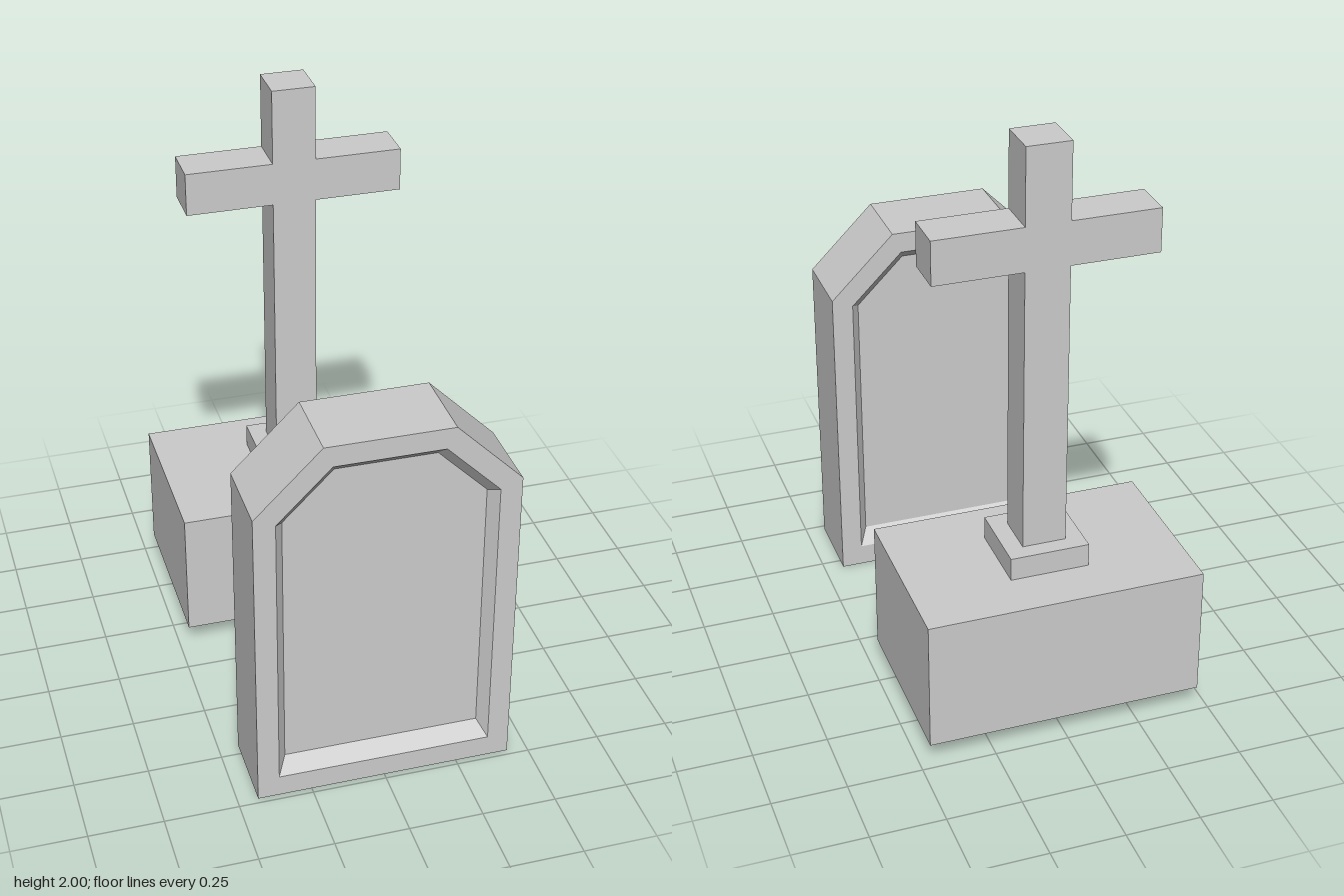
import * as THREE from 'three';

const grey = () => new THREE.MeshStandardMaterial({ color: 0xcccccc, flatShading: true });

function add(parent, name, geometry, x = 0, y = 0, z = 0) {
  const mesh = new THREE.Mesh(geometry, grey());
  mesh.name = name;
  mesh.position.set(x, y, z);
  parent.add(mesh);
}

// Box given by half width, bottom, top, back and front
function addBox(parent, name, hw, y0, y1, z0, z1) {
  add(parent, name, new THREE.BoxGeometry(hw * 2, y1 - y0, z1 - z0), 0, (y0 + y1) / 2, (z0 + z1) / 2);
}

// Clipped-corner outline, counter-clockwise seen from the front
function outline(hw, bottom, shoulder, topHw, top, z) {
  return [[-hw, bottom], [hw, bottom], [hw, shoulder], [topHw, top], [-topHw, top], [-hw, shoulder]]
    .map(([x, y]) => new THREE.Vector3(x, y, z));
}

// Closed solid through loops running from front to back
function loft(loops) {
  const pts = [];
  const n = loops[0].length;
  for (let i = 0; i < loops.length - 1; i++) {
    for (let j = 0; j < n; j++) {
      const k = (j + 1) % n;
      const a = loops[i][j], b = loops[i][k], c = loops[i + 1][j], d = loops[i + 1][k];
      pts.push(a, c, b, b, c, d);
    }
  }
  const first = loops[0], last = loops[loops.length - 1];
  for (let j = 1; j < n - 1; j++) {
    pts.push(first[0], first[j], first[j + 1], last[0], last[j + 1], last[j]);
  }
  const geometry = new THREE.BufferGeometry().setFromPoints(pts);
  geometry.computeVertexNormals();
  return geometry;
}

export function createModel() {
  const model = new THREE.Group();
  model.name = 'graveMarkers';

  // Headstone with a bevelled recess on both faces
  const front = 0.73, back = 0.457, depth = 0.04;
  const panel = z => outline(0.33, 0.13, 1.05, 0.165, 1.215, z);
  const rim = z => outline(0.36, 0.075, 1.07, 0.18, 1.25, z);
  const edge = z => outline(0.432, 0, 1.1, 0.21, 1.322, z);
  add(model, 'headstone', loft([
    panel(front - depth), rim(front), edge(front),
    edge(back), rim(back), panel(back + depth),
  ]));

  // Cross monument: base block, plinth and cross
  const monument = new THREE.Group();
  monument.name = 'crossMonument';
  model.add(monument);
  addBox(monument, 'baseBlock', 0.467, 0.075, 0.53, -0.73, -0.125);
  addBox(monument, 'plinth', 0.134, 0.53, 0.61, -0.56, -0.295);

  const w = 0.074, arm = 0.37, low = 1.593, high = 1.742;
  const cross = new THREE.Shape([
    [-w, 0.61], [w, 0.61], [w, low], [arm, low], [arm, high], [w, high],
    [w, 2], [-w, 2], [-w, high], [-arm, high], [-arm, low], [-w, low],
  ].map(([x, y]) => new THREE.Vector2(x, y)));
  add(monument, 'cross', new THREE.ExtrudeGeometry(cross, { depth: 0.15, bevelEnabled: false }), 0, 0, -0.503);

  return model;
}
